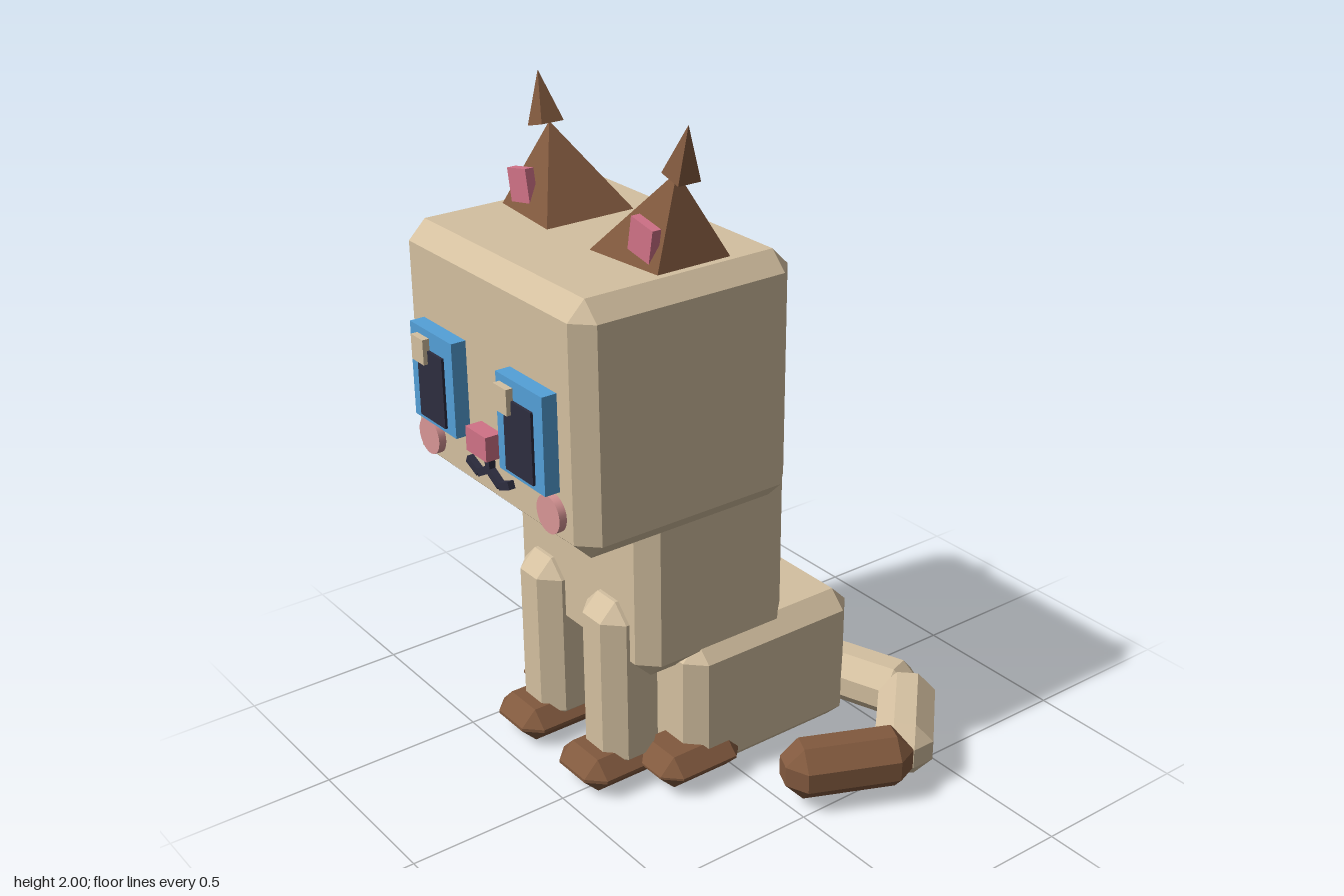
import * as THREE from 'three';
import { ConvexGeometry } from 'three/addons/geometries/ConvexGeometry.js';

const material = (name, color) => {
  const m = new THREE.MeshStandardMaterial({ color });
  m.name = name;
  return m;
};
const CX = -0.19; // mirror plane of the cat (the tail lies to one side)

// Box with all edges cut at 45 degrees
function chamferBox(w, h, d, b = 0.054) {
  const points = [];
  const x = w / 2, y = h / 2, z = d / 2;
  for (const sx of [-1, 1]) for (const sy of [-1, 1]) for (const sz of [-1, 1]) {
    points.push(
      new THREE.Vector3(sx * x, sy * (y - b), sz * (z - b)),
      new THREE.Vector3(sx * (x - b), sy * y, sz * (z - b)),
      new THREE.Vector3(sx * (x - b), sy * (y - b), sz * z));
  }
  return new ConvexGeometry(points);
}

// Four-sided spike from an inner edge and an outer edge, [distance from CX, y, half depth], to a tip
function spike(side, inner, outer, tip, z) {
  const points = [new THREE.Vector3(CX + side * tip[0], tip[1], z)];
  for (const [x, y, half] of [inner, outer]) for (const s of [-1, 1]) {
    points.push(new THREE.Vector3(CX + side * x, y, z + s * half));
  }
  return new ConvexGeometry(points);
}

export function createModel() {
  const group = new THREE.Group();
  group.name = 'cat';

  const cream = material('cream fur', 0xd4c0a0);
  const brown = material('brown fur', 0x81593e);
  const blue = material('blue eye', 0x54a0d8);
  const dark = material('dark navy', 0x2d2d3f);
  const pink = material('pink', 0xd07287);
  const blush = material('blush', 0xd99696);

  const add = (name, geometry, mat, x = 0, y = 0, z = 0) => {
    const mesh = new THREE.Mesh(geometry, mat);
    mesh.name = name;
    mesh.position.set(x, y, z);
    group.add(mesh);
    return mesh;
  };
  // Box given by its limits on each axis
  const block = (name, mat, [x0, x1], [y0, y1], [z0, z1], make = (w, h, d) => new THREE.BoxGeometry(w, h, d)) =>
    add(name, make(x1 - x0, y1 - y0, z1 - z0), mat, (x0 + x1) / 2, (y0 + y1) / 2, (z0 + z1) / 2);
  const chamfered = (w, h, d) => chamferBox(w, h, d);
  const footShape = (w, h, d) => chamferBox(w, h, d, 0.049);

  // Head, chest and hindquarters
  block('head', cream, [-0.634, 0.254], [0.895, 1.63], [-0.15, 0.565], chamfered);
  block('chest', cream, [-0.53, 0.15], [0.375, 1.073], [-0.235, 0.3], chamfered);
  block('hindquarters', cream, [-0.568, 0.188], [0, 0.45], [-0.465, 0.158], chamfered);

  for (const side of [-1, 1]) {
    const label = side < 0 ? 'right' : 'left';
    const span = (a, b) => [CX + side * a, CX + side * b].sort((p, q) => p - q);

    // Legs and feet
    block(label + 'FrontLeg', cream, span(0.066, 0.261), [0.04, 0.603], [0.165, 0.365], chamfered);
    block(label + 'FrontFoot', brown, span(0.053, 0.28), [0.007, 0.115], [0.16, 0.45], footShape);
    block(label + 'BackFoot', brown, span(0.187, 0.414), [0.017, 0.122], [-0.02, 0.272], footShape);

    // Outward-leaning ears with a small tuft on top
    add(label + 'Ear', spike(side, [0.1, 1.628, 0.147], [0.37, 1.628, 0.12], [0.296, 1.865], 0.15), brown);
    add(label + 'EarTuft', spike(side, [0.278, 1.865, 0.037], [0.35, 1.845, 0.037], [0.346, 2], 0.15), brown);
    const innerEar = add(label + 'InnerEar', new THREE.BoxGeometry(0.095, 0.1, 0.028), pink,
      CX + side * 0.288, 1.7, 0.251);
    innerEar.rotation.z = -side * 0.19;

    // Eyes: the pupil and highlight shift the same way on both sides
    const eyeX = CX + side * 0.2125;
    const eye = CX + side * 0.222;
    block(label + 'Eye', blue, [eye - 0.11, eye + 0.11], [1.084, 1.367], [0.55, 0.611]);
    block(label + 'Pupil', dark, [eye - 0.066, eye + 0.066], [1.1, 1.31], [0.611, 0.619]);
    block(label + 'EyeHighlight', cream, [eyeX - 0.0815, eyeX - 0.0185], [1.27, 1.345], [0.611, 0.632]);

    // Round cheek
    const cheek = add(label + 'Cheek', new THREE.CylinderGeometry(0.055, 0.055, 0.03, 24), blush,
      CX + side * 0.306, 1.015, 0.573);
    cheek.rotation.x = Math.PI / 2;

    // Two strokes of the mouth on this side
    const mouth = [[0, 1.025], [0.054, 0.995], [0.108, 1.018]];
    for (let i = 0; i < 2; i++) {
      const [[ax, ay], [bx, by]] = [mouth[i], mouth[i + 1]];
      const stroke = add(label + 'MouthStroke' + (i + 1),
        new THREE.BoxGeometry(Math.hypot(bx - ax, by - ay), 0.023, 0.03), dark,
        CX + side * (ax + bx) / 2, (ay + by) / 2, 0.57);
      stroke.rotation.z = side * Math.atan2(by - ay, bx - ax);
    }
  }

  // Nose and the line below it
  block('nose', pink, [-0.239, -0.137], [1.077, 1.15], [0.55, 0.617]);
  block('mouthLine', dark, [-0.2, -0.177], [1.015, 1.08], [0.55, 0.585]);

  // Tail of three segments curling forward: x, z, turn, colour
  const tail = [
    [0.161, -0.508, 0.34, cream],
    [0.442, -0.447, -0.785, cream],
    [0.49, -0.17, 1.148, brown],
  ];
  tail.forEach(([x, z, turn, mat], i) => {
    const segment = add('tailSegment' + (i + 1), chamferBox(0.388, 0.17, 0.172), mat, x, 0.115, z);
    segment.rotation.y = turn;
  });

  return group;
}
